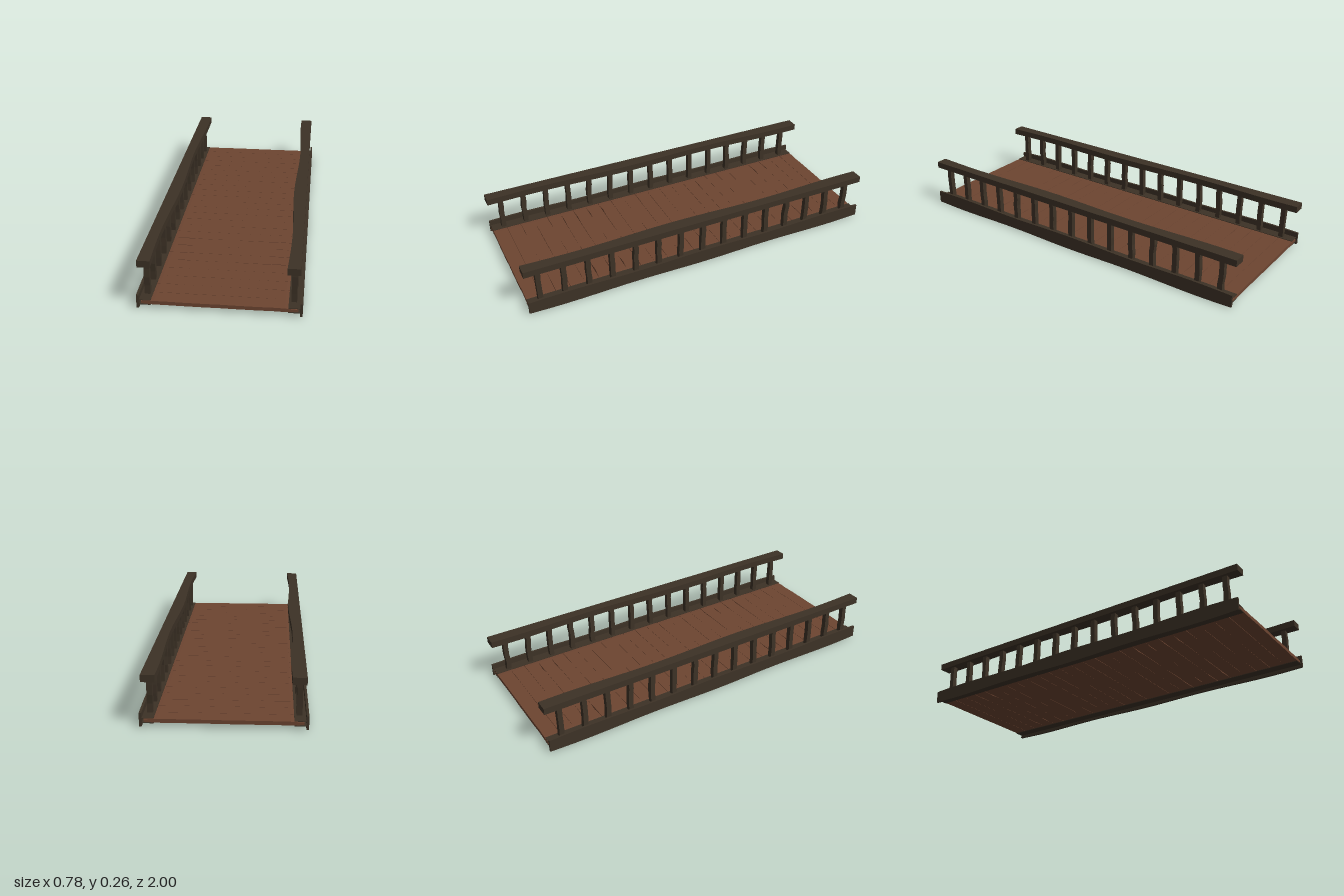
import * as THREE from 'three';

const darkWood = new THREE.MeshStandardMaterial({ color: 0x3d3226, flatShading: true });
const plankWood = new THREE.MeshStandardMaterial({ color: 0x6d4531, flatShading: true });

let seed = 7;
const rand = () => {
  seed = (seed * 16807) % 2147483647;
  return seed / 2147483647 - 0.5;
};

// Segmented box whose vertices are moved by a rule
function warpedBox(name, size, segments, material, position, warp) {
  const geometry = new THREE.BoxGeometry(...size, ...segments);
  const p = geometry.attributes.position;
  const v = new THREE.Vector3();
  for (let i = 0; i < p.count; i++) {
    v.fromBufferAttribute(p, i);
    if (warp) warp(v);
    p.setXYZ(i, v.x, v.y, v.z);
  }
  geometry.computeVertexNormals();
  const mesh = new THREE.Mesh(geometry, material);
  mesh.name = name;
  mesh.position.set(...position);
  return mesh;
}

// Deck of cross planks with worn edges and chamfered ends
function createDeck() {
  const deck = new THREE.Group();
  deck.name = 'deck';
  const count = 25, pitch = 1.98 / count;
  for (let i = 0; i < count; i++) {
    const wear = [rand(), rand(), rand(), rand(), rand(), rand(), rand()];
    const gappy = [2, 3, 16, 17, 18, 19].includes(i) ? 0.004 : 0.001;
    deck.add(warpedBox('plank', [0.738, 0.019, pitch - 0.001], [12, 1, 1], plankWood,
      [0, 0.032, -0.99 + (i + 0.5) * pitch], (v) => {
        const k = Math.round((v.x / 0.738 + 0.5) * 6);
        const side = Math.sign(v.z);
        v.z += 0.002 * wear[k] - (side > 0 && (k === 1 || k === 5) ? gappy : 0);
        if (Math.abs(v.x) > 0.36) v.y *= 0.6;
      }));
  }
  return deck;
}

// One railing: channel beam, balusters and handrail; s is the side in x
function createRailing(s) {
  const railing = new THREE.Group();
  railing.name = s > 0 ? 'leftRailing' : 'rightRailing';

  // Side board, taller at three places along its length
  railing.add(warpedBox('sideBoard', [0.012, 0.064, 1.99], [1, 1, 30], darkWood,
    [s * 0.384, 0.038, 0], (v) => {
      const swell = 0.5 + 0.5 * Math.cos((v.z * 2 * Math.PI) / 0.79);
      const end = Math.max(0, Math.abs(v.z) - 0.85) * 0.01;
      v.y += Math.sign(v.y) * (0.006 * swell - end);
    }));

  // Flanges clasping the plank ends
  for (const y of [0.0205, 0.0435])
    railing.add(warpedBox('flange', [0.056, 0.003, 1.98], [1, 1, 1], darkWood, [s * 0.351, y, 0]));

  // Balusters, slightly uneven
  for (let i = 0; i < 15; i++) {
    const bend = [0, rand(), rand(), rand(), 0];
    railing.add(warpedBox('baluster', [0.027, 0.185, 0.026], [1, 4, 1], darkWood,
      [s * 0.348, 0.1355, (7 - i) * 0.1313 + 0.004], (v) => {
        const k = Math.round((v.y / 0.185 + 0.5) * 4);
        v.z += 0.007 * bend[k];
      }));
  }

  // Handrail with a worn inner edge
  railing.add(warpedBox('handrail', [0.06, 0.035, 2], [1, 1, 32], darkWood,
    [s * 0.347, 0.2425, 0], (v) => {
      if (v.x * s < 0) {
        const wave = Math.cos(((v.z - 0.17) * 2 * Math.PI) / 1.06);
        v.x += s * (-0.001 - 0.007 * wave);
      }
    }));
  return railing;
}

export function createModel() {
  const bridge = new THREE.Group();
  bridge.name = 'bridge';
  bridge.add(createDeck(), createRailing(1), createRailing(-1));
  return bridge;
}
